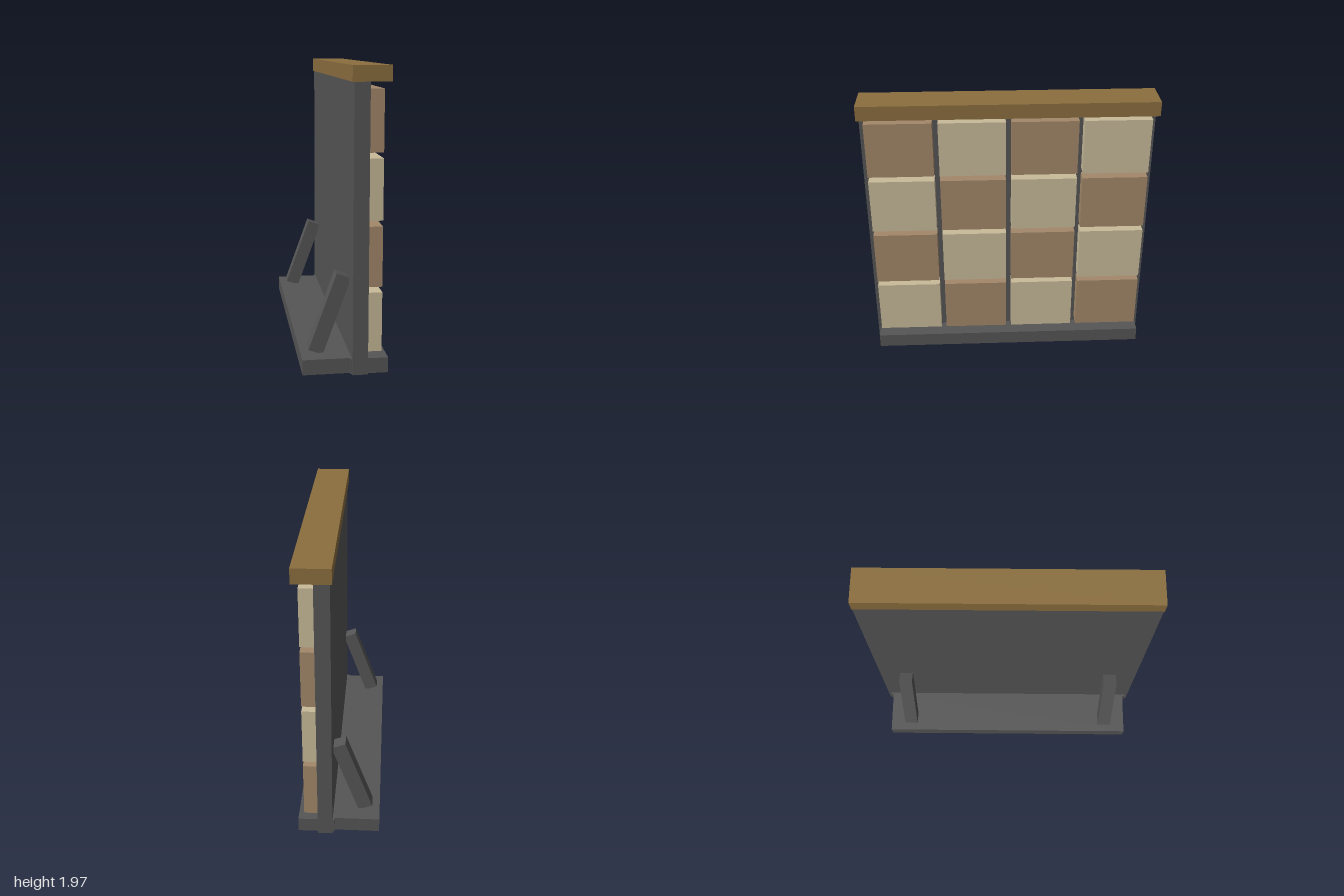
import * as THREE from 'three';

const material = (name, color) => {
  const m = new THREE.MeshStandardMaterial({ color });
  m.name = name;
  return m;
};

export function createModel() {
  const model = new THREE.Group();
  const grey = material('dark grey', 0x555555);
  const wood = material('wood', 0x8b6e3f);
  const tan = material('tan', 0xa3886a);
  const cream = material('cream', 0xc8bb9a);

  // Adds a box from its size and centre
  const box = (name, mat, [w, h, d], [x, y, z], parent = model) => {
    const mesh = new THREE.Mesh(new THREE.BoxGeometry(w, h, d), mat);
    mesh.name = name;
    mesh.position.set(x, y, z);
    parent.add(mesh);
    return mesh;
  };

  // Upright panel with a wooden cap rail
  box('panel', grey, [0.1, 1.867, 2], [0.091, 0.9335, 0]);
  box('capRail', wood, [0.246, 0.1, 2], [0.153, 1.917, 0]);

  // Foot: a wider front sill and a back plate
  box('frontSill', grey, [0.246, 0.102, 1.96], [0.153, 0.051, 0]);
  box('backFoot', grey, [0.31, 0.102, 1.92], [-0.123, 0.051, 0]);

  // Two slanted braces behind the panel
  for (const side of [1, -1]) {
    const brace = box('brace', grey, [0.1, 0.544, 0.1], [-0.086, 0.363, side * 0.795]);
    brace.rotation.z = -THREE.MathUtils.degToRad(20);
  }

  // Checkerboard of four by four raised blocks
  const blocks = new THREE.Group();
  blocks.name = 'blocks';
  model.add(blocks);
  for (let row = 0; row < 4; row++) {
    for (let col = 0; col < 4; col++) {
      const mat = (row + col) % 2 ? cream : tan;
      box('block', mat, [0.098, 0.393, 0.453],
        [0.187, 0.338 + row * 0.43, -0.736 + col * 0.4907], blocks);
    }
  }
  return model;
}
